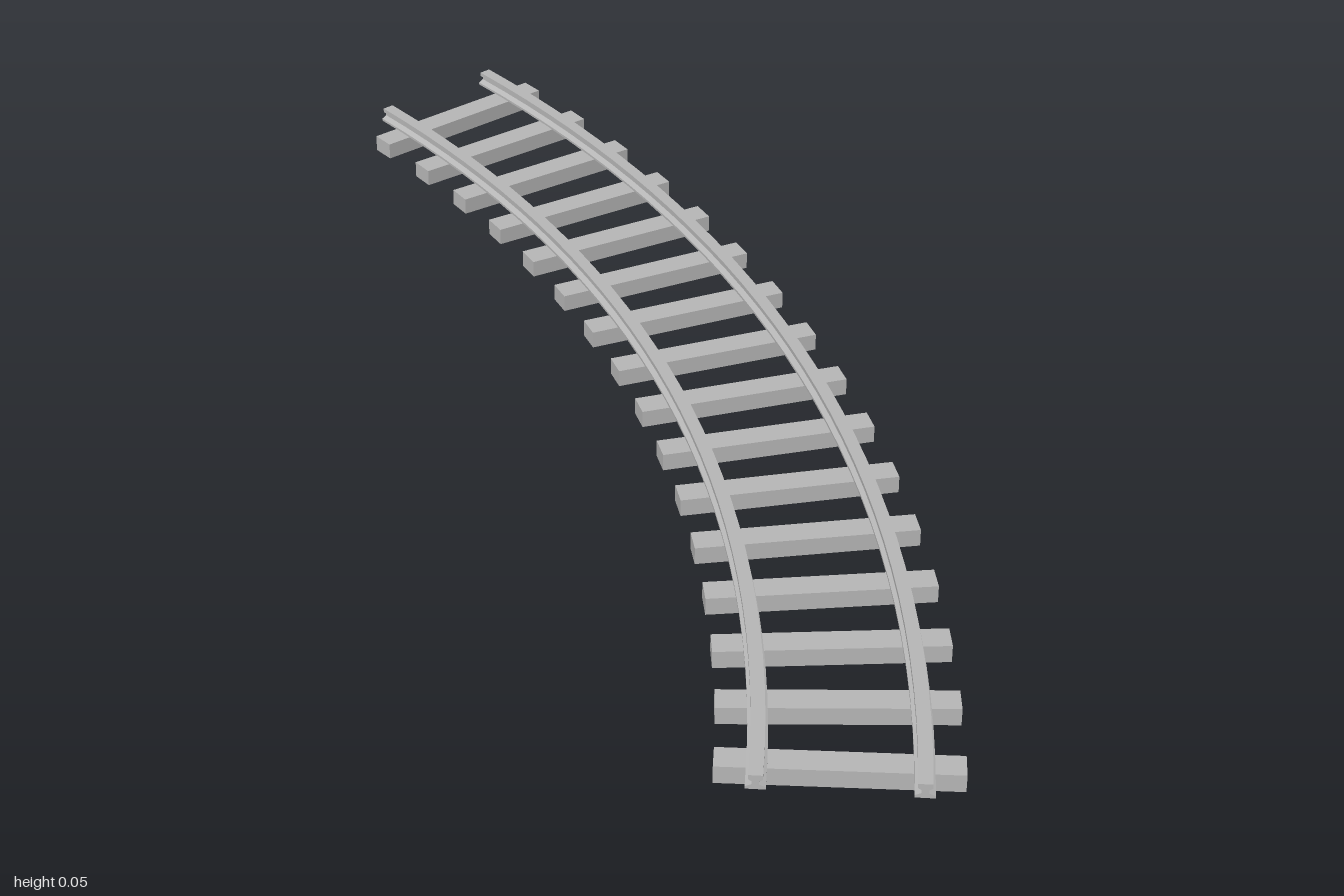
import * as THREE from 'three';

const CENTRE_X = -1, CENTRE_Z = 2.345; // centre of the curve
const SWEEP = Math.PI / 4;
const SLEEPERS = 16;
const SLEEPER_TOP = 0.028;

// Half of the rail section: foot, web, head (offset, height)
const HALF_RAIL = [
  [0.014, SLEEPER_TOP], [0.014, 0.032], [0.005, 0.036],
  [0.005, 0.041], [0.010, 0.044], [0.010, 0.051],
];

// Straight rail extrusion bent round the curve centre
function railGeometry(radius) {
  const mirrored = HALF_RAIL.map(([x, y]) => [-x, y]).reverse();
  const section = new THREE.Shape([...HALF_RAIL, ...mirrored].map(([x, y]) => new THREE.Vector2(x, y)));
  const geo = new THREE.ExtrudeGeometry(section, { depth: 1, steps: 32, bevelEnabled: false });
  const pos = geo.attributes.position;
  for (let i = 0; i < pos.count; i++) {
    const r = radius + pos.getX(i);
    const a = pos.getZ(i) * SWEEP;
    pos.setXYZ(i, CENTRE_X + r * Math.sin(a), pos.getY(i), CENTRE_Z - r * Math.cos(a));
  }
  geo.computeVertexNormals();
  return geo;
}

export function createModel() {
  const track = new THREE.Group();
  track.name = 'curvedTrack';
  const grey = new THREE.MeshStandardMaterial({ color: 0xb8b8b8 });
  grey.name = 'grey';

  // Rails
  for (const [name, radius] of [['outerRail', 2.815], ['innerRail', 2.593]]) {
    const rail = new THREE.Mesh(railGeometry(radius), grey);
    rail.name = name;
    track.add(rail);
  }

  // Sleepers, evenly spaced and radial
  const inner = 2.535, outer = 2.871, mid = (inner + outer) / 2;
  const block = new THREE.BoxGeometry(0.041, SLEEPER_TOP, outer - inner);
  for (let i = 0; i < SLEEPERS; i++) {
    const a = (i + 0.5) / SLEEPERS * SWEEP;
    const sleeper = new THREE.Mesh(block, grey);
    sleeper.name = 'sleeper' + (i + 1);
    sleeper.position.set(CENTRE_X + mid * Math.sin(a), SLEEPER_TOP / 2, CENTRE_Z - mid * Math.cos(a));
    sleeper.rotation.y = -a;
    track.add(sleeper);
  }
  return track;
}
